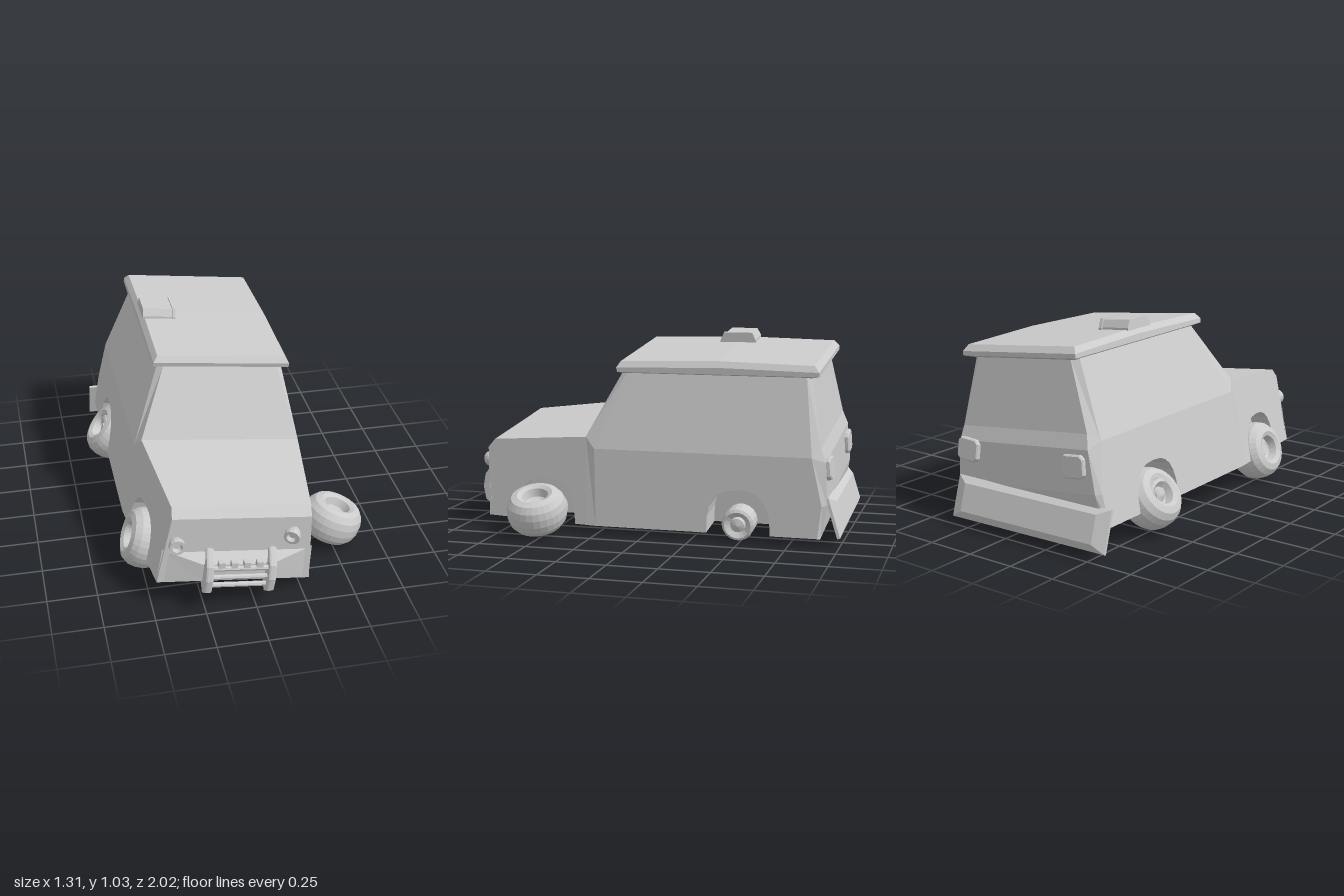
import * as THREE from 'three';

const mat = new THREE.MeshStandardMaterial({ color: 0xcccccc, flatShading: true, side: THREE.DoubleSide });
const V = (x, y, z) => [x, y, z];
const flip = ([x, y, z]) => [-x, y, z];

function add(parent, name, geo, pos = [0, 0, 0], rot = [0, 0, 0]) {
  const m = new THREE.Mesh(geo, mat);
  m.name = name;
  m.position.set(...pos);
  m.rotation.set(...rot);
  parent.add(m);
  return m;
}

// Polygons (fan triangulated) joined into one flat-shaded surface
function faces(list) {
  const p = [];
  for (const f of list)
    for (let i = 1; i < f.length - 1; i++) p.push(...f[0], ...f[i], ...f[i + 1]);
  const g = new THREE.BufferGeometry();
  g.setAttribute('position', new THREE.Float32BufferAttribute(p, 3));
  g.computeVertexNormals();
  return g;
}
const both = list => [...list, ...list.map(f => f.map(flip).reverse())];
// Faces across the car from a chain of half-width points
const across = chain => chain.slice(1).map((b, i) => [chain[i], flip(chain[i]), flip(b), b]);
// Closed bands between successive rings
const bands = rings => rings.slice(1).flatMap((r, k) => r.map((p, i) => {
  const j = (i + 1) % r.length;
  return [rings[k][i], rings[k][j], r[j], p];
}));

const FLOOR = 0.085, FRONT = 0.54, REAR = -0.49, WELL = 0.28;

// Wheel arch outline as [z, y], running from front to rear
const arch = c => Array.from({ length: 13 }, (_, i) => {
  const a = i / 12 * Math.PI, k = Math.cos(a);
  return [c + 0.163 * Math.sign(k) * Math.abs(k) ** 0.75, FLOOR + 0.225 * Math.max(0, Math.sin(a)) ** 0.7];
});

// Side panel drawn in z-y, then set out to the width rule
function sidePanel(outline, width, s) {
  const g = new THREE.ShapeGeometry(new THREE.Shape(outline.map(p => new THREE.Vector2(...p))));
  const a = g.attributes.position;
  for (let i = 0; i < a.count; i++) {
    const z = a.getX(i), y = a.getY(i);
    a.setXYZ(i, s * width(z, y), y, z);
  }
  g.computeVertexNormals();
  return g;
}
const fenderWidth = (z, y) => 0.385 + 0.075 * (0.88 - z) / 0.57 - 0.05 * (y - FLOOR) / 0.46;
const cabinWidth = (z, y) => 0.465 - 0.03 * (y - FLOOR) / 0.405;

function buildBody(car) {
  const fender = [[0.88, FLOOR], [0.88, 0.45], [0.84, 0.495], [0.31, 0.545], [0.31, FLOOR], ...arch(FRONT).reverse()];
  const cabin = [[0.26, FLOOR], [0.26, 0.49], [-0.86, 0.49], [-0.91, 0.25], [-0.89, FLOOR], ...arch(REAR).reverse()];
  for (const s of [1, -1]) {
    add(car, 'fender', sidePanel(fender, fenderWidth, s));
    add(car, 'cabinSide', sidePanel(cabin, cabinWidth, s));
    // Wheel wells
    for (const [c, w] of [[FRONT, fenderWidth], [REAR, cabinWidth]]) {
      const a = arch(c);
      const strip = a.slice(1).map((b, i) => [[s * w(...a[i]), a[i][1], a[i][0]], [s * WELL, a[i][1], a[i][0]],
        [s * WELL, b[1], b[0]], [s * w(...b), b[1], b[0]]]);
      add(car, 'wheelWell', faces([...strip, a.map(([z, y]) => [s * WELL, y, z])]));
    }
  }
  const f = (z, y) => V(fenderWidth(z, y), y, z);
  // Nose, bonnet and windscreen
  add(car, 'bonnetAndWindscreen', faces(across([f(0.88, FLOOR), f(0.88, 0.45), f(0.84, 0.495), f(0.31, 0.545), V(0.30, 0.87, 0.13)])));
  // Pillars and window sides
  const belt = V(0.435, 0.49, 0.26), beltRear = V(0.435, 0.49, -0.86);
  const top = V(0.325, 0.87, 0.10), topRear = V(0.325, 0.87, -0.82);
  const back = [V(0.29, 0.87, -0.845), V(0.39, 0.53, -0.90), V(0.405, 0.46, -0.925), V(0.43, 0.25, -0.935), V(0.43, FLOOR, -0.905)];
  add(car, 'pillars', faces(both([
    [f(0.31, 0.545), f(0.31, FLOOR), V(0.465, FLOOR, 0.26), belt],
    [f(0.31, 0.545), belt, top, V(0.30, 0.87, 0.13)],
    [belt, beltRear, topRear, top],
    [topRear, beltRear, back[1], back[0]],
    [beltRear, back[2], back[1]],
    [beltRear, V(cabinWidth(0, 0.25), 0.25, -0.91), back[3], back[2]],
    [V(cabinWidth(0, 0.25), 0.25, -0.91), V(0.465, FLOOR, -0.89), back[4], back[3]],
  ])));
  add(car, 'tailgate', faces(across(back)));
  // Floor with openings for the wheels
  const ends = [0.88, FRONT + 0.163, FRONT - 0.163, REAR + 0.163, REAR - 0.163, -0.905];
  const w = z => z > 0.31 ? fenderWidth(z, FLOOR) : 0.465;
  add(car, 'floor', faces([
    ...across([V(WELL, FLOOR, 0.88), V(WELL, FLOOR, -0.905)]),
    ...both([0, 2, 4].map(i => [V(WELL, FLOOR, ends[i]), V(w(ends[i]), FLOOR, ends[i]),
      V(w(ends[i + 1]), FLOOR, ends[i + 1]), V(WELL, FLOOR, ends[i + 1])])),
  ]));
  // Roof with a drip lip and a slight peak across the middle
  const ring = (h, zf, zr, y, rise) => [V(h, y, zf), V(h, y + rise, -0.38), V(h, y, zr), V(-h, y, zr), V(-h, y + rise, -0.38), V(-h, y, zf)];
  const rings = [ring(0.31, 0.11, -0.84, 0.862, 0), ring(0.355, 0.145, -0.885, 0.878, 0),
    ring(0.355, 0.15, -0.885, 0.90, 0.012), ring(0.335, 0.13, -0.86, 0.93, 0.012)];
  const r = rings[3];
  add(car, 'roof', faces([...bands(rings), [r[0], r[1], r[4], r[5]], [r[1], r[2], r[3], r[4]], rings[0]]));
}

function buildFittings(car) {
  // Broken roof sign: a tapered block with a rim at the open end
  const block = (grow, len) => new THREE.ExtrudeGeometry(new THREE.Shape([
    [-0.09 - grow, 0], [-0.09 - grow, 0.015], [-0.07 - grow, 0.052 + grow], [0.07 + grow, 0.052 + grow], [0.09 + grow, 0.015], [0.09 + grow, 0],
  ].map(p => new THREE.Vector2(...p))), { depth: len, bevelEnabled: false }).rotateY(Math.PI / 2);
  add(car, 'roofSign', block(0, 0.175), [-0.345, 0.935, -0.37]);
  add(car, 'roofSignRim', block(0.006, 0.018), [-0.188, 0.935, -0.37]);

  // Headlights, one knocked askew
  const lamp = new THREE.LatheGeometry([[0.03, 0], [0.04, 0.03], [0.04, 0.055], [0.026, 0.055], [0.018, 0.035], [0, 0.035]]
    .map(p => new THREE.Vector2(...p)), 14).rotateX(Math.PI / 2);
  add(car, 'headlight', lamp, [-0.314, 0.32, 0.875]);
  add(car, 'headlight', lamp, [0.27, 0.365, 0.872], [0.2, -0.45, 0]);

  // Front bumper tapering forward to the middle
  const o = [V(0.385, FLOOR, 0.87), V(0.375, 0.27, 0.87)], n = [V(0.17, 0.125, 0.93), V(0.17, 0.215, 0.93)];
  const i = [V(0.17, FLOOR, 0.87), V(0.17, 0.27, 0.87)];
  add(car, 'frontBumper', faces([...both([[o[0], o[1], n[1], n[0]], [o[1], i[1], n[1]], [o[0], n[0], i[0]]]),
    ...across([i[0], n[0], n[1], i[1]])]));
  // Bull bar
  const plate = new THREE.ExtrudeGeometry(new THREE.Shape([[0.89, 0.11], [0.95, 0.07], [0.99, 0.10], [1, 0.17], [0.985, 0.24], [0.93, 0.31],
    [0.91, 0.30], [0.945, 0.23], [0.89, 0.20]].map(p => new THREE.Vector2(-p[0], p[1]))),
  { depth: 0.02, bevelEnabled: true, bevelSize: 0.004, bevelThickness: 0.008, bevelSegments: 1 }).rotateY(Math.PI / 2);
  for (const x of [-0.165, 0.145]) add(car, 'bullBarPlate', plate, [x, 0, 0]);
  for (const y of [0.12, 0.165, 0.215])
    add(car, 'bullBarRail', new THREE.CylinderGeometry(0.013, 0.013, 0.3, 8).rotateZ(Math.PI / 2), [0, y, 0.96]);
  for (let k = 0; k < 4; k++) add(car, 'smallLamp', new THREE.BoxGeometry(0.032, 0.03, 0.03), [-0.095 + k * 0.063, 0.237, 0.955]);

  // Tail lights
  const lens = new THREE.ExtrudeGeometry(new THREE.Shape([[-0.06, -0.035], [-0.045, -0.05], [0.045, -0.05], [0.06, -0.035],
    [0.06, 0.035], [0.045, 0.05], [-0.045, 0.05], [-0.06, 0.035]].map(p => new THREE.Vector2(...p))),
  { depth: 0.02, bevelEnabled: true, bevelSize: 0.006, bevelThickness: 0.006, bevelSegments: 1 });
  add(car, 'tailLight', lens, [-0.32, 0.38, -0.945], [0.06, 0, 0]);
  add(car, 'tailLight', lens, [0.34, 0.42, -0.945], [0.12, 0, 0.15]);

  // Axles with brake drums and hub caps
  for (const z of [FRONT, REAR]) {
    add(car, 'axle', new THREE.CylinderGeometry(0.045, 0.045, 0.84, 16).rotateZ(Math.PI / 2), [0, 0.12, z]);
    for (const s of [1, -1]) {
      const drum = new THREE.LatheGeometry([[0.05, -0.1], [0.082, -0.08], [0.082, 0.02], [0.068, 0.03], [0.04, 0.01], [0.035, 0.03], [0, 0.04]]
        .map(p => new THREE.Vector2(...p)), 18).rotateZ(-s * Math.PI / 2);
      add(car, 'brakeDrum', drum, [s * (z > 0 ? 0.40 : 0.445), 0.135, z]);
    }
  }
}

// Fat tyre with dished hubs; its axis runs along local y
function buildWheel(parent, name, pos, lean) {
  const half = [[0, 0.05], [0.03, 0.05], [0.036, 0.035], [0.055, 0.045], [0.068, 0.085], [0.09, 0.096], [0.122, 0.085], [0.145, 0.055], [0.154, 0.02]];
  const prof = [...half, ...half.map(([r, y]) => [r, -y]).reverse()].reverse();
  add(parent, name, new THREE.LatheGeometry(prof.map(p => new THREE.Vector2(...p)), 28), pos, [0, 0, lean]);
}

export function createModel() {
  const root = new THREE.Group();
  root.name = 'wreckedOffRoadCar';
  // The shell leans towards its left side
  const car = new THREE.Group();
  car.name = 'car';
  car.position.set(-0.1, 0.0115, 0);
  car.rotation.z = -0.115;
  root.add(car);
  buildBody(car);
  buildFittings(car);

  // Buckled wheels and one lying loose
  buildWheel(root, 'frontRightWheel', [-0.48, 0.16, 0.53], 1.22);
  buildWheel(root, 'rearRightWheel', [-0.505, 0.175, -0.5], 0.9);
  buildWheel(root, 'looseWheel', [0.505, 0.14, 0.53], -0.36);

  // Hanging rear bumper, thinner towards its rim
  const rim = (h, v, z) => [V(-h, -v, z), V(h, -v, z), V(h, v, z), V(-h, v, z)];
  const rings = [rim(0.465, 0.105, 0.02), rim(0.465, 0.105, 0.005), rim(0.40, 0.07, -0.022)];
  add(root, 'rearBumper', faces([...bands(rings), rings[0], rings[2]]), [-0.115, 0.15, -0.962], [0.3, 0.025, -0.01]);
  return root;
}
